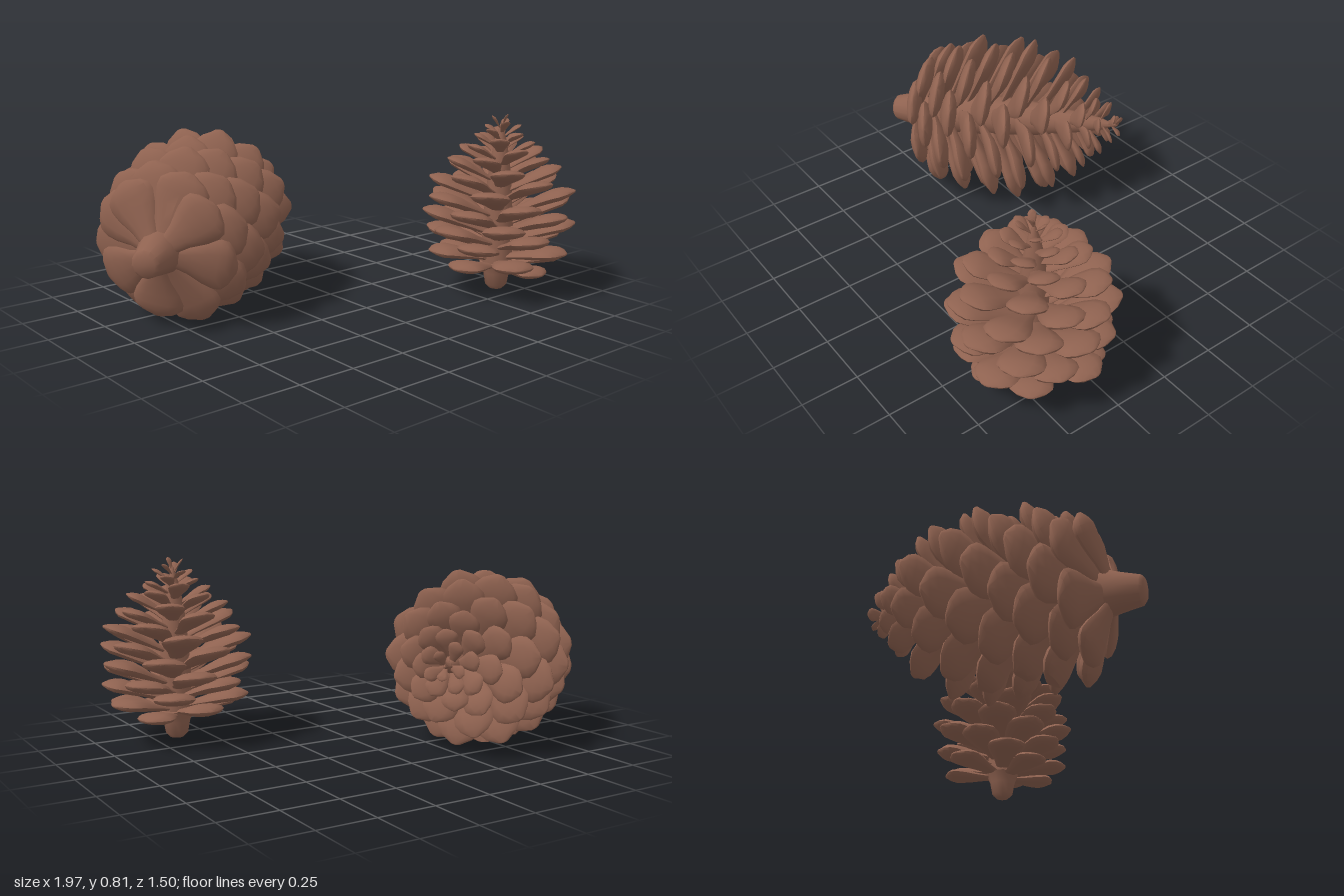
import * as THREE from 'three';
import { mergeGeometries, toCreasedNormals } from 'three/addons/utils/BufferGeometryUtils.js';

// Small seeded generator for natural variation
function seeded(seed) {
  return () => (seed = (seed * 16807) % 2147483647) / 2147483647;
}

// Linear interpolation in a table whose first column is the position u
function sample(rows, u) {
  let k = 1;
  while (k < rows.length - 1 && rows[k][0] < u) k++;
  const a = rows[k - 1], b = rows[k];
  const f = (u - a[0]) / (b[0] - a[0]);
  return a.slice(1).map((v, i) => v + (b[i + 1] - v) * f);
}

// One woody scale along +z: lens-shaped sections [t, width, thickness, lift]
const SECTIONS = [
  [0, 0.36, 0.45, 0], [0.25, 0.55, 0.6, 0.01], [0.5, 0.86, 0.9, 0.025], [0.68, 1, 1, 0.03],
  [0.8, 0.97, 0.95, 0.02], [0.9, 0.7, 0.65, 0.01], [0.99, 0.2, 0.2, 0], [1, 0, 0, 0],
];
const SIDES = 12;

function scaleGeometry(length, width, thick) {
  const pos = [], index = [];
  SECTIONS.forEach(([t, w, h, lift], i) => {
    for (let j = 0; j < SIDES; j++) {
      const a = (j / SIDES) * Math.PI * 2;
      pos.push(Math.cos(a) * w * width / 2, Math.sin(a) * h * thick / 2 + lift * length, t * length);
      if (i === SECTIONS.length - 1) continue;
      const n = (j + 1) % SIDES, p = i * SIDES, q = p + SIDES;
      index.push(p + j, p + n, q + n);
      if (i < SECTIONS.length - 2) index.push(p + j, q + n, q + j);
    }
  });
  const g = new THREE.BufferGeometry();
  g.setAttribute('position', new THREE.Float32BufferAttribute(pos, 3));
  g.setIndex(index);
  return g;
}

// Scales in a golden-angle spiral; rows: u, root height, root radius, tip height, tip radius, width
function spiralScales(rows, count, seed) {
  const rand = seeded(seed), parts = [];
  const up = new THREE.Vector3(0, 1, 0);
  for (let i = 0; i < count; i++) {
    const [y0, r0, y1, r1, width] = sample(rows, i / (count - 1));
    const a = i * 2.39996 + (rand() - 0.5) * 0.1;
    const out = new THREE.Vector3(Math.sin(a), 0, Math.cos(a));
    const root = out.clone().multiplyScalar(r0).addScaledVector(up, y0);
    const tip = out.clone().multiplyScalar(r1 * (0.97 + rand() * 0.06))
      .addScaledVector(up, y1 + (rand() - 0.5) * 0.02);
    const dir = tip.sub(root);
    const length = dir.length();
    dir.normalize();
    const side = new THREE.Vector3().crossVectors(up, dir).normalize();
    const normal = new THREE.Vector3().crossVectors(dir, side);
    const m = new THREE.Matrix4().makeBasis(side, normal, dir).setPosition(root);
    parts.push(scaleGeometry(length, width, width * 0.31).applyMatrix4(m));
  }
  return mergeGeometries(parts);
}

// Flatten anything under the ground onto it
function restOnGround(geometry) {
  const p = geometry.attributes.position;
  for (let i = 0; i < p.count; i++) p.setY(i, Math.max(0, p.getY(i)));
  return geometry;
}

function lathe(points) {
  return new THREE.LatheGeometry(points.map(([r, y]) => new THREE.Vector2(r, y)), 12);
}

function pinecone(name, spec, matrix, material) {
  const cone = new THREE.Group();
  cone.name = name;
  const add = (part, geometry) => {
    const g = restOnGround(geometry.applyMatrix4(matrix));
    const mesh = new THREE.Mesh(toCreasedNormals(g, 0.75), material);
    mesh.name = part;
    cone.add(mesh);
  };
  add('stalk', lathe(spec.stalk));
  add('core', lathe(spec.core));
  add('scales', spiralScales(spec.rows, spec.count, spec.seed));
  return cone;
}

const UPRIGHT = {
  count: 64, seed: 11,
  stalk: [[0, 0], [0.03, 0.005], [0.05, 0.025], [0.06, 0.08], [0.08, 0.13], [0, 0.15]],
  core: [[0, 0.11], [0.07, 0.12], [0.07, 0.3], [0.06, 0.45], [0.045, 0.6], [0.025, 0.7], [0, 0.78]],
  rows: [
    [0, 0.11, 0.05, 0.13, 0.28, 0.16],
    [0.08, 0.135, 0.05, 0.18, 0.32, 0.18],
    [0.3, 0.26, 0.05, 0.365, 0.345, 0.19],
    [0.48, 0.38, 0.05, 0.495, 0.33, 0.175],
    [0.6, 0.48, 0.045, 0.58, 0.275, 0.155],
    [0.72, 0.57, 0.035, 0.655, 0.2, 0.12],
    [0.82, 0.64, 0.025, 0.705, 0.135, 0.09],
    [0.92, 0.71, 0.015, 0.755, 0.095, 0.05],
    [1, 0.76, 0.005, 0.81, 0.03, 0.03],
  ],
};

const LYING = {
  count: 84, seed: 29,
  stalk: [[0, 0], [0.045, 0.003], [0.06, 0.015], [0.08, 0.1], [0.1, 0.17], [0, 0.2]],
  core: [[0, 0.13], [0.09, 0.15], [0.1, 0.3], [0.1, 0.5], [0.08, 0.75], [0.05, 0.95], [0.03, 1.06], [0, 1.14]],
  rows: [
    [0, 0.13, 0.06, 0.2, 0.3, 0.22],
    [0.08, 0.16, 0.06, 0.27, 0.345, 0.225],
    [0.25, 0.27, 0.06, 0.43, 0.385, 0.225],
    [0.42, 0.44, 0.06, 0.61, 0.395, 0.215],
    [0.56, 0.6, 0.06, 0.77, 0.375, 0.2],
    [0.68, 0.75, 0.05, 0.9, 0.31, 0.17],
    [0.78, 0.87, 0.04, 0.99, 0.225, 0.135],
    [0.87, 0.98, 0.03, 1.05, 0.155, 0.1],
    [0.95, 1.07, 0.015, 1.12, 0.1, 0.06],
    [1, 1.13, 0.005, 1.17, 0.04, 0.04],
  ],
};

export function createModel() {
  const bark = new THREE.MeshStandardMaterial({ color: 0x8f6250 });
  bark.name = 'brown bark';

  const model = new THREE.Group();
  model.name = 'pinecones';

  const standing = new THREE.Matrix4().makeTranslation(0.65, 0, 0.41);
  model.add(pinecone('uprightPinecone', UPRIGHT, standing, bark));

  // Lying cone: axis runs from the stalk end to the tip
  const axis = new THREE.Vector3(0.94, 0.1, -0.7).normalize();
  const turn = new THREE.Quaternion().setFromUnitVectors(new THREE.Vector3(0, 1, 0), axis);
  const lying = new THREE.Matrix4().makeRotationFromQuaternion(turn).setPosition(-0.965, 0.32, 0.04);
  model.add(pinecone('lyingPinecone', LYING, lying, bark));

  return model;
}
